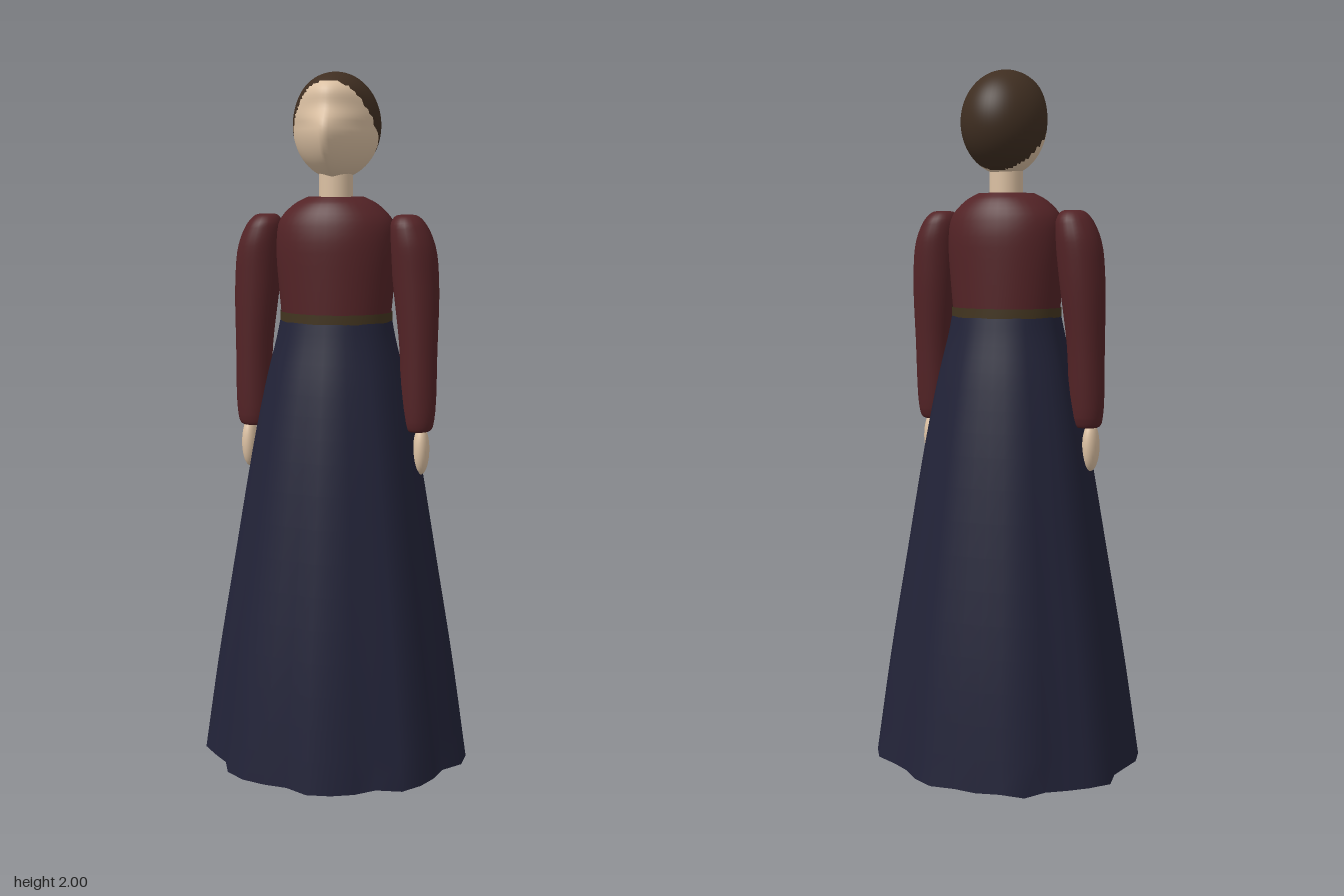
import * as THREE from 'three';
import { mergeVertices } from 'three/addons/utils/BufferGeometryUtils.js';

function material(name, color, side = THREE.FrontSide) {
  const m = new THREE.MeshStandardMaterial({ color, side });
  m.name = name;
  return m;
}

// Skin of elliptical rings [y, centreX, radiusX, centreZ, radiusZ], listed from bottom to top
function loft(rings, sides = 32, fold = () => 1) {
  const pos = [], index = [];
  rings.forEach(([y, cx, rx, cz, rz], i) => {
    for (let j = 0; j < sides; j++) {
      const a = (j / sides) * Math.PI * 2, f = fold(i, j);
      pos.push(cx + rx * f * Math.cos(a), y, cz + rz * f * Math.sin(a));
      if (i === rings.length - 1) continue;
      const k = (j + 1) % sides, p = i * sides, q = p + sides;
      index.push(p + j, q + j, p + k, q + j, q + k, p + k);
    }
  });
  const g = new THREE.BufferGeometry();
  g.setAttribute('position', new THREE.Float32BufferAttribute(pos, 3));
  g.setIndex(index);
  g.computeVertexNormals();
  return g;
}

// Rings smoothed along a spline
function smoothRings(rings, steps) {
  const a = new THREE.CatmullRomCurve3(rings.map(r => new THREE.Vector3(r[0], r[1], r[2])));
  const b = new THREE.CatmullRomCurve3(rings.map(r => new THREE.Vector3(r[3], r[4], 0)));
  return Array.from({ length: steps + 1 }, (_, i) => {
    const p = a.getPoint(i / steps), q = b.getPoint(i / steps);
    return [p.x, p.y, Math.max(p.z, 0), q.x, Math.max(q.y, 0)];
  });
}

// Head with a pointed face; triangles behind a slanted hairline become hair
function headGeometry() {
  let g = new THREE.SphereGeometry(1, 56, 44);
  g.deleteAttribute('uv');
  g.deleteAttribute('normal');
  g = mergeVertices(g, 1e-5);
  const p = g.attributes.position;
  for (let i = 0; i < p.count; i++) {
    const x = p.getX(i), y = p.getY(i);
    let z = p.getZ(i) * 0.14;
    if (z > 0) {
      const c = Math.sqrt(Math.max(1 - y * y, 1e-8));
      const e = 1.22 + 0.8 * Math.max(0, y);
      const s = Math.max(0, 1 - Math.pow(Math.min(1, Math.abs(x) / c), e));
      z = 0.157 * c * Math.pow(s, 1 / e) * (1 - 0.17 * Math.exp(-(((y - 0.35) / 0.28) ** 2)));
    }
    p.setXYZ(i, x * 0.123, 1.857 + y * 0.143, z);
  }
  g.computeVertexNormals();
  const face = [], hair = [], id = g.index.array;
  for (let t = 0; t < id.length; t += 3) {
    const tri = [id[t], id[t + 1], id[t + 2]];
    const y = tri.reduce((s, v) => s + p.getY(v) / 3, 0);
    const z = tri.reduce((s, v) => s + p.getZ(v) / 3, 0);
    (z < 0.09 - (1.97 - y) * 0.6 ? hair : face).push(...tri);
  }
  g.setIndex([...face, ...hair]);
  g.addGroup(0, face.length, 0);
  g.addGroup(face.length, hair.length, 1);
  return g;
}

export function createModel() {
  const model = new THREE.Group();
  model.name = 'womanInLongSkirt';
  const skin = material('skin', 0xdcc1a3);
  const hair = material('hair', 0x3f2e21);
  const red = material('bodiceRed', 0x532326);
  const navy = material('skirtNavy', 0x222338, THREE.DoubleSide);
  const olive = material('beltOlive', 0x42341f, THREE.DoubleSide);

  const add = (name, geometry, mat, parent = model) => {
    const m = new THREE.Mesh(geometry, mat);
    m.name = name;
    parent.add(m);
    return m;
  };
  const ellipsoid = (name, mat, parent, [x, y, z], [rx, ry, rz]) => {
    const g = new THREE.SphereGeometry(1, 24, 16).scale(rx, ry, rz).translate(x, y, z);
    return add(name, g, mat, parent);
  };

  // Skirt: irregular hem folds that fade towards the waist
  const hem = [189, 190, 175, 182, 188, 191, 175, 184, 189, 191, 178, 184, 190, 190, 176, 181, 190, 188,
    180, 178, 193, 186, 180, 177, 193, 182, 184, 181, 190, 184, 174, 177, 190, 188, 178, 181];
  const skirtRings = smoothRings([
    [0.05, 0, 0.381, 0, 0.341], [0.35, 0, 0.339, 0, 0.3], [0.65, 0, 0.29, 0, 0.253],
    [0.95, 0, 0.24, 0, 0.205], [1.15, 0, 0.2, 0, 0.169], [1.27, 0, 0.17, 0, 0.143],
    [1.335, 0, 0.157, 0, 0.131]], 20);
  add('skirt', loft(skirtRings, 36, (i, j) => 1 + (hem[j] / 184 - 1) * (1 - i / 20)), navy);

  // Belt
  add('belt', loft([[1.322, 0, 0.159, 0, 0.133], [1.35, 0, 0.159, 0, 0.133]], 36), olive);

  // Bodice with a flat neckline
  const bodice = smoothRings([
    [1.325, 0, 0.154, 0, 0.128], [1.42, 0, 0.163, 0, 0.129], [1.53, 0, 0.17, 0, 0.13],
    [1.6, 0, 0.16, 0, 0.12], [1.645, 0, 0.118, 0, 0.097], [1.665, 0, 0.08, 0, 0.075]], 16);
  add('bodice', loft(bodice, 36), red);
  add('neckline', loft([[1.665, 0, 0.08, 0, 0.075], [1.667, 0, 0, 0, 0]], 36), red);

  // Neck and head
  add('neck', new THREE.CylinderGeometry(0.047, 0.047, 0.14, 24).translate(0, 1.69, 0), skin);
  add('head', headGeometry(), [skin, hair]);

  // Arms and legs on both sides
  for (const [side, s] of [['left', 1], ['right', -1]]) {
    const arm = new THREE.Group();
    arm.name = side + 'Arm';
    model.add(arm);
    const sleeve = smoothRings([
      [1.018, s * 0.24, 0, 0.018, 0], [1.022, s * 0.24, 0.036, 0.018, 0.034],
      [1.05, s * 0.24, 0.046, 0.016, 0.042], [1.25, s * 0.238, 0.053, 0.01, 0.052],
      [1.43, s * 0.228, 0.064, 0.004, 0.063], [1.53, s * 0.218, 0.063, 0.003, 0.067],
      [1.59, s * 0.205, 0.05, 0.003, 0.058], [1.615, s * 0.2, 0.03, 0.003, 0.035],
      [1.618, s * 0.2, 0, 0.003, 0]], 40);
    add(side + 'Sleeve', loft(sleeve, 24), red, arm);
    ellipsoid(side + 'Hand', skin, arm, [s * 0.251, 0.965, 0.022], [0.023, 0.07, 0.033]);

    const leg = new THREE.Group();
    leg.name = side + 'Leg';
    model.add(leg);
    add(side + 'Shin', new THREE.CylinderGeometry(0.05, 0.038, 0.6, 20).translate(s * 0.095, 0.35, 0), skin, leg);
    ellipsoid(side + 'Foot', skin, leg, [s * 0.095, 0.045, 0.035], [0.05, 0.04, 0.107]);
  }
  model.position.set(-0.002, -0.003, 0);
  return model;
}
